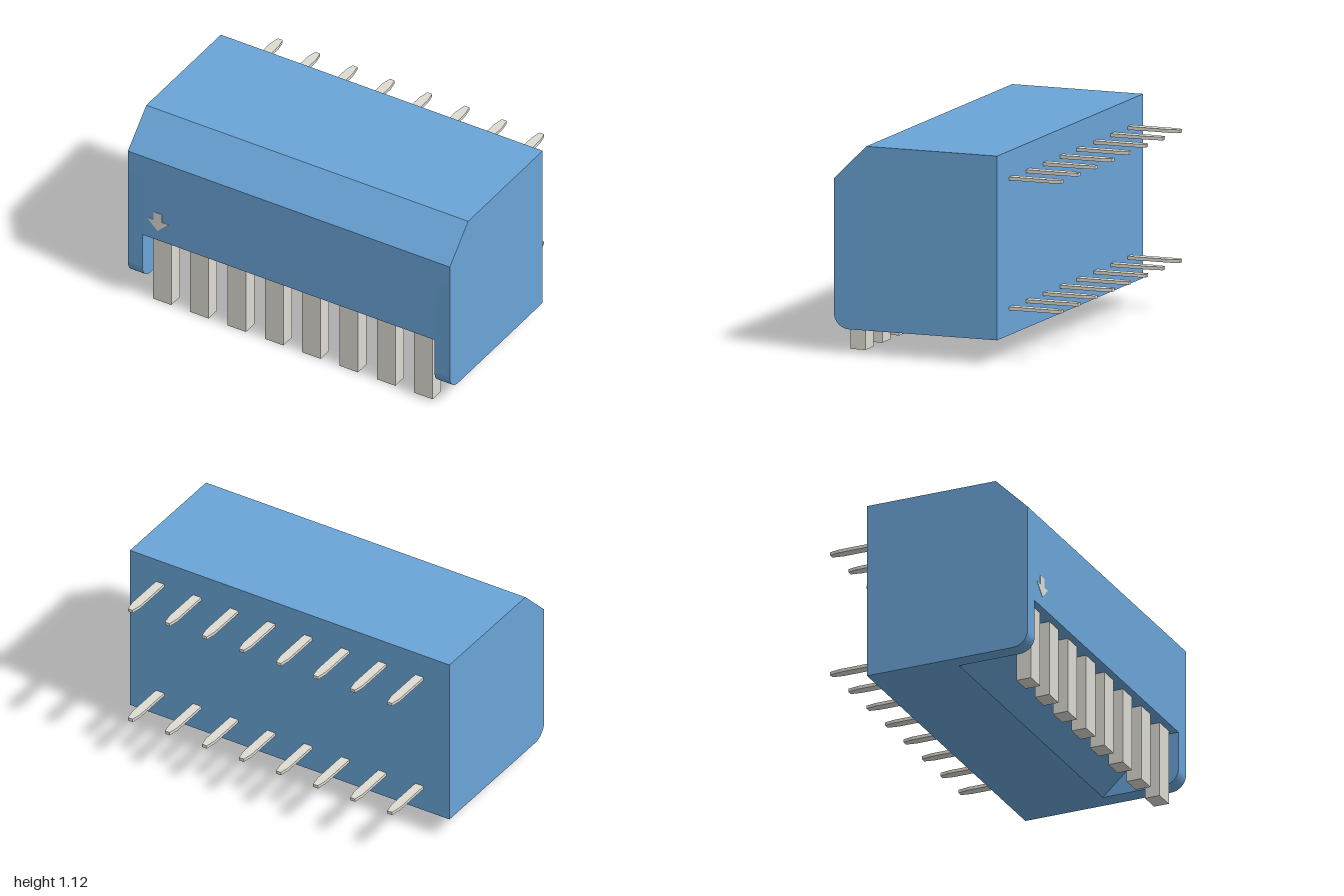
import * as THREE from 'three';
import { toCreasedNormals } from 'three/addons/utils/BufferGeometryUtils.js';

const blue = new THREE.MeshStandardMaterial({ color: 0x6aa5d8 });
const metal = new THREE.MeshStandardMaterial({ color: 0xdddbd2 });

const BACK = -0.32, FRONT = 0.615, BOTTOM = 0.13, TOP = 1.12;
const COUNT = 8, PITCH = 0.232, FIRST = -0.8125;

// Side profile drawn as (z, y); the recessed version has a sloped pocket at the lower front
function sideProfile(recessed) {
  const s = new THREE.Shape();
  s.moveTo(BACK, BOTTOM);
  s.lineTo(BACK, TOP);
  s.lineTo(0.43, TOP);
  s.lineTo(FRONT, 0.935);
  if (recessed) {
    s.lineTo(FRONT, 0.425);
    s.lineTo(0.49, 0.425);
    s.lineTo(0.175, BOTTOM);
  } else {
    const r = 0.085;
    s.lineTo(FRONT, BOTTOM + r);
    s.absarc(FRONT - r, BOTTOM + r, r, 0, -Math.PI / 2, true);
  }
  s.closePath();
  return s;
}

// Extrude a (z, y) profile along x between x0 and x1
function slab(name, recessed, x0, x1) {
  const geo = new THREE.ExtrudeGeometry(sideProfile(recessed), {
    depth: x1 - x0, bevelEnabled: false, curveSegments: 10,
  });
  geo.rotateY(-Math.PI / 2).translate(x1, 0, 0);
  const mesh = new THREE.Mesh(toCreasedNormals(geo, 0.5), blue);
  mesh.name = name;
  return mesh;
}

function extrudePoints(points, depth) {
  const shape = new THREE.Shape(points.map(([x, y]) => new THREE.Vector2(x, y)));
  return new THREE.ExtrudeGeometry(shape, { depth, bevelEnabled: false });
}

export function createModel() {
  const model = new THREE.Group();
  model.name = 'switchBlock';

  // Housing: recessed middle and two full ends
  const housing = new THREE.Group();
  housing.name = 'housing';
  housing.add(
    slab('housingMiddle', true, -0.91, 0.905),
    slab('rightEnd', false, -1, -0.91),
    slab('leftEnd', false, 0.905, 1),
  );
  model.add(housing);

  // Square levers below the front, flat tapered pins in two rows at the back
  const leverGeo = new THREE.BoxGeometry(0.115, 0.425, 0.085);
  const pinGeo = extrudePoints([
    [-0.026, 0], [0.026, 0], [0.026, 0.235], [0.015, 0.295], [-0.015, 0.295], [-0.026, 0.235],
  ], 0.018);
  pinGeo.rotateX(-Math.PI / 2).translate(0, -0.009, BACK);

  const levers = new THREE.Group();
  levers.name = 'levers';
  const pins = new THREE.Group();
  pins.name = 'pins';
  for (let i = 0; i < COUNT; i++) {
    const x = FIRST + i * PITCH;
    const lever = new THREE.Mesh(leverGeo, metal);
    lever.name = 'lever';
    lever.position.set(x, 0.2125, 0.5325);
    levers.add(lever);
    for (const y of [0.274, 0.972]) {
      const pin = new THREE.Mesh(pinGeo, metal);
      pin.name = 'pin';
      pin.position.set(x, y, 0);
      pins.add(pin);
    }
  }
  model.add(levers, pins);

  // Small arrow mark on the front
  const arrow = new THREE.Mesh(extrudePoints([
    [0, -0.115], [0.067, -0.05], [0.026, -0.05], [0.026, 0],
    [-0.026, 0], [-0.026, -0.05], [-0.067, -0.05],
  ], 0.004), metal);
  arrow.name = 'arrowMark';
  arrow.position.set(-0.815, 0.6, FRONT - 0.002);
  model.add(arrow);

  return model;
}
